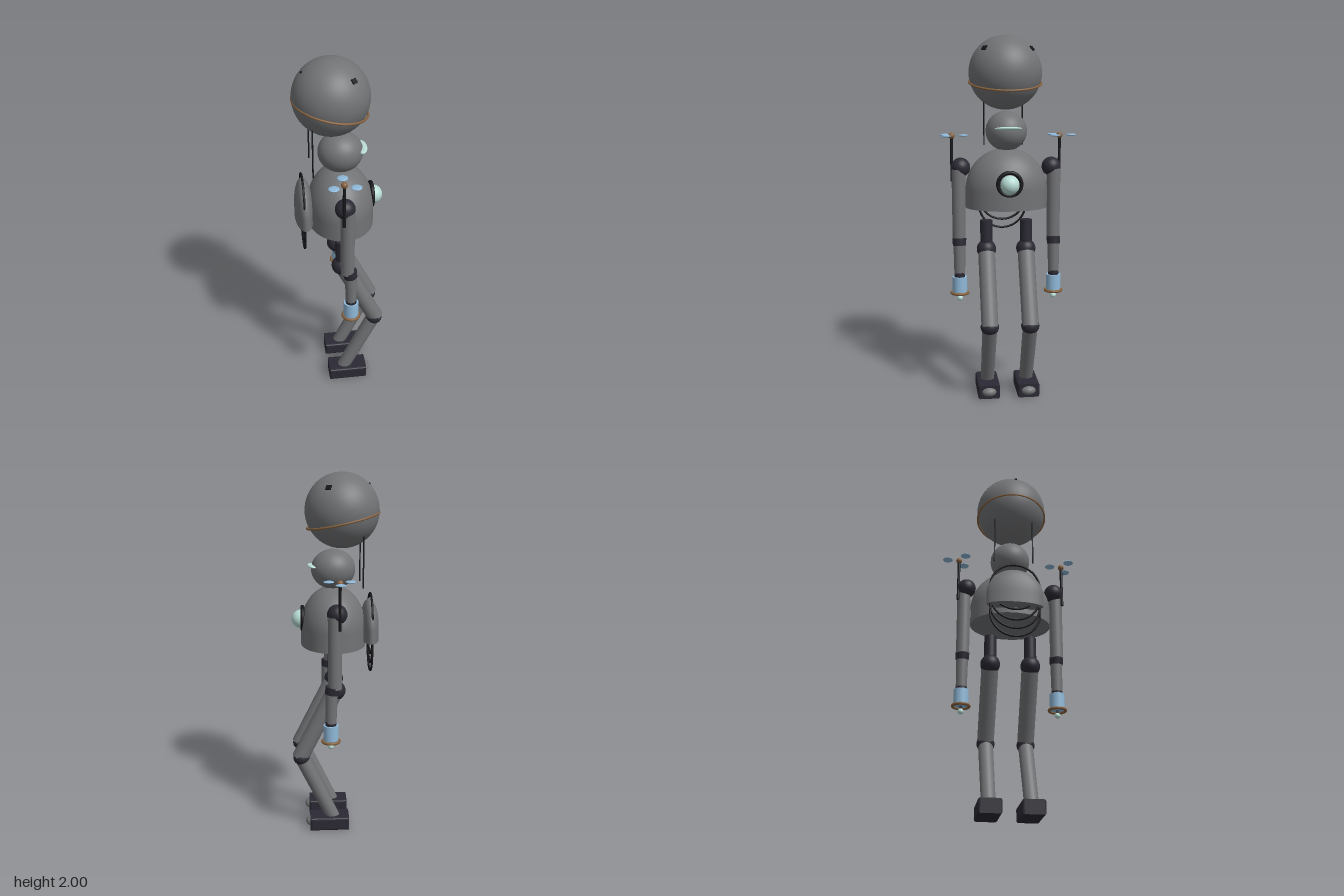
import * as THREE from 'three';

const mat = (name, color) => {
  const m = new THREE.MeshStandardMaterial({ color });
  m.name = name;
  return m;
};

export function createModel() {
  const grey = mat('body grey', 0x727375);
  const dark = mat('joint charcoal', 0x2b2933);
  const black = mat('cable black', 0x17171b);
  const blue = mat('pale blue', 0x8fb8d8);
  const mint = mat('glass mint', 0xb8dcd4);
  const brown = mat('copper brown', 0x86623f);

  const model = new THREE.Group();
  // All parts sit around the model's own mid-plane
  const root = new THREE.Group();
  root.name = 'robot';
  root.position.z = 0.016;
  model.add(root);

  const add = (name, geo, material, x, y, z, parent = root) => {
    const mesh = new THREE.Mesh(geo, material);
    mesh.name = name;
    mesh.position.set(x, y, z);
    parent.add(mesh);
    return mesh;
  };
  const ball = (name, r, material, x, y, z, sx = 1, sy = 1, sz = 1) => {
    const m = add(name, new THREE.SphereGeometry(r, 40, 28), material, x, y, z);
    m.scale.set(sx, sy, sz);
    return m;
  };
  // Cylinder between two points
  const rod = (name, a, b, rTop, rBottom, material) => {
    const from = new THREE.Vector3(...a), to = new THREE.Vector3(...b);
    const dir = to.clone().sub(from);
    const mid = from.clone().add(to).multiplyScalar(0.5);
    const m = add(name, new THREE.CylinderGeometry(rTop, rBottom, dir.length(), 28), material, mid.x, mid.y, mid.z);
    m.quaternion.setFromUnitVectors(new THREE.Vector3(0, 1, 0), dir.normalize());
    return m;
  };
  // Hemisphere on a short straight skirt, closed below
  const dome = (name, r, rise, skirt, x, y, sx) => {
    const pts = [];
    for (let i = 0; i <= 20; i++) {
      const a = (i / 20) * Math.PI / 2;
      pts.push(new THREE.Vector2(r * Math.cos(a), rise * Math.sin(a)));
    }
    pts[20].x = 0;
    pts.unshift(new THREE.Vector2(r, -skirt));
    add(name, new THREE.LatheGeometry(pts, 48), grey, x, y, 0).scale.x = sx;
    const base = add(name + 'Base', new THREE.CircleGeometry(r, 48), grey, x, y - skirt, 0);
    base.rotation.x = Math.PI / 2;
    base.scale.x = sx;
  };

  // Balloon with tilted band, patches and tethers
  const centre = new THREE.Vector3(-0.04, 1.8, 0);
  ball('balloon', 0.2, grey, centre.x, centre.y, 0);
  const band = new THREE.Group();
  band.name = 'balloonBand';
  band.position.set(-0.045, 1.748, 0);
  band.rotation.z = -0.22;
  root.add(band);
  add('bandRing', new THREE.TorusGeometry(0.197, 0.006, 10, 72), brown, 0, 0, 0, band).rotation.x = Math.PI / 2;
  for (const [dx, dy, dz, s] of [[0.08, 0.13, -0.139, 1], [0.1, 0.13, 0.124, 1], [-0.145, 0.138, 0.009, 0.4]]) {
    const n = new THREE.Vector3(dx, dy, dz).normalize();
    const p = centre.clone().addScaledVector(n, 0.2);
    const patch = add('balloonPatch', new THREE.BoxGeometry(0.03 * s, 0.026 * s, 0.01), black, p.x, p.y, p.z);
    patch.lookAt(p.clone().add(n));
  }

  // Head and visor
  ball('head', 0.12, grey, 0.008, 1.487, 0, 1, 0.9, 0.94);
  ball('visor', 0.075, mint, 0.118, 1.505, 0, 0.4, 0.13, 1).rotation.z = 0.15;

  // Torso with chest lamp
  dome('torso', 0.225, 0.225, 0.1, 0.008, 1.17, 0.79);
  ball('chestLamp', 0.051, mint, 0.186, 1.212, 0);
  add('lampRing', new THREE.TorusGeometry(0.062, 0.011, 14, 48), black, 0.177, 1.215, 0).rotation.y = Math.PI / 2;

  // Backpack and hanging cable loops
  dome('backpack', 0.155, 0.15, 0.07, -0.192, 1.17, 0.32);
  for (const y of [1.213, 1.15, 1.1, 1.052]) {
    add('cableLoop', new THREE.TorusGeometry(0.136, 0.006, 10, 56), black, -0.197, y, 0).rotation.y = Math.PI / 2;
  }

  for (const s of [1, -1]) {
    const side = s > 0 ? 'A' : 'B';
    rod('tether' + side, [-0.147, 1.4, s * 0.109], [-0.147, 1.69, s * 0.109], 0.004, 0.004, black);

    // Arm
    const az = s * 0.263;
    ball('shoulder' + side, 0.053, dark, 0, 1.29, s * 0.251);
    rod('upperArm' + side, [0.012, 0.89, az], [0.012, 1.28, az], 0.038, 0.036, grey);
    rod('elbow' + side, [0.03, 0.86, az], [0.024, 0.9, az], 0.039, 0.036, dark);
    rod('forearm' + side, [0.034, 0.7, az], [0.03, 0.865, az], 0.033, 0.03, grey);
    rod('wrist' + side, [0.034, 0.68, az], [0.034, 0.71, az], 0.03, 0.03, dark);
    rod('hand' + side, [0.034, 0.595, az], [0.034, 0.685, az], 0.041, 0.041, blue);
    add('handRim' + side, new THREE.TorusGeometry(0.045, 0.008, 12, 40), brown, 0.034, 0.593, az).rotation.x = Math.PI / 2;
    ball('handTip' + side, 0.016, mint, 0.034, 0.563, az);
    rod('tipStem' + side, [0.034, 0.565, az], [0.034, 0.6, az], 0.006, 0.006, dark);

    // Shoulder mast with three petals
    const mz = s * 0.298;
    rod('mast' + side, [-0.012, 1.212, mz], [-0.012, 1.46, mz], 0.008, 0.008, black);
    ball('mastKnob' + side, 0.017, brown, -0.012, 1.461, mz);
    for (let i = 0; i < 3; i++) {
      const a = -Math.PI / 2 + i * Math.PI * 2 / 3;
      ball('petal' + side, 0.028, blue, -0.012 + 0.065 * Math.cos(a), 1.463, mz + 0.065 * Math.sin(a), 1, 0.22, 1);
    }

    // Leg
    const lz = s * 0.111;
    rod('hipPost' + side, [0, 0.83, lz], [0, 0.995, lz], 0.034, 0.034, dark);
    ball('hip' + side, 0.054, dark, 0, 0.83, lz);
    rod('thigh' + side, [0.2, 0.437, lz], [0.01, 0.815, lz], 0.047, 0.046, grey);
    ball('knee' + side, 0.05, dark, 0.193, 0.437, lz, 0.93, 0.87, 1);
    rod('shin' + side, [0.012, 0.06, lz], [0.193, 0.437, lz], 0.041, 0.038, grey);

    // Foot: bevelled block with a round toe
    const w = 0.0985, h = 0.0265, b = 0.012;
    const sole = new THREE.Shape([[-w, -h], [w, -h], [w, h], [-w, h]].map(p => new THREE.Vector2(...p)));
    const block = new THREE.ExtrudeGeometry(sole, { depth: 0.1, bevelEnabled: true, bevelSize: b, bevelThickness: b, bevelSegments: 3 });
    block.translate(0, 0, -0.05);
    add('foot' + side, block, dark, 0.036, 0.0425, lz);
    ball('toe' + side, 0.043, grey, 0.132, 0.043, lz, 0.9, 0.65, 1);
  }

  return model;
}
